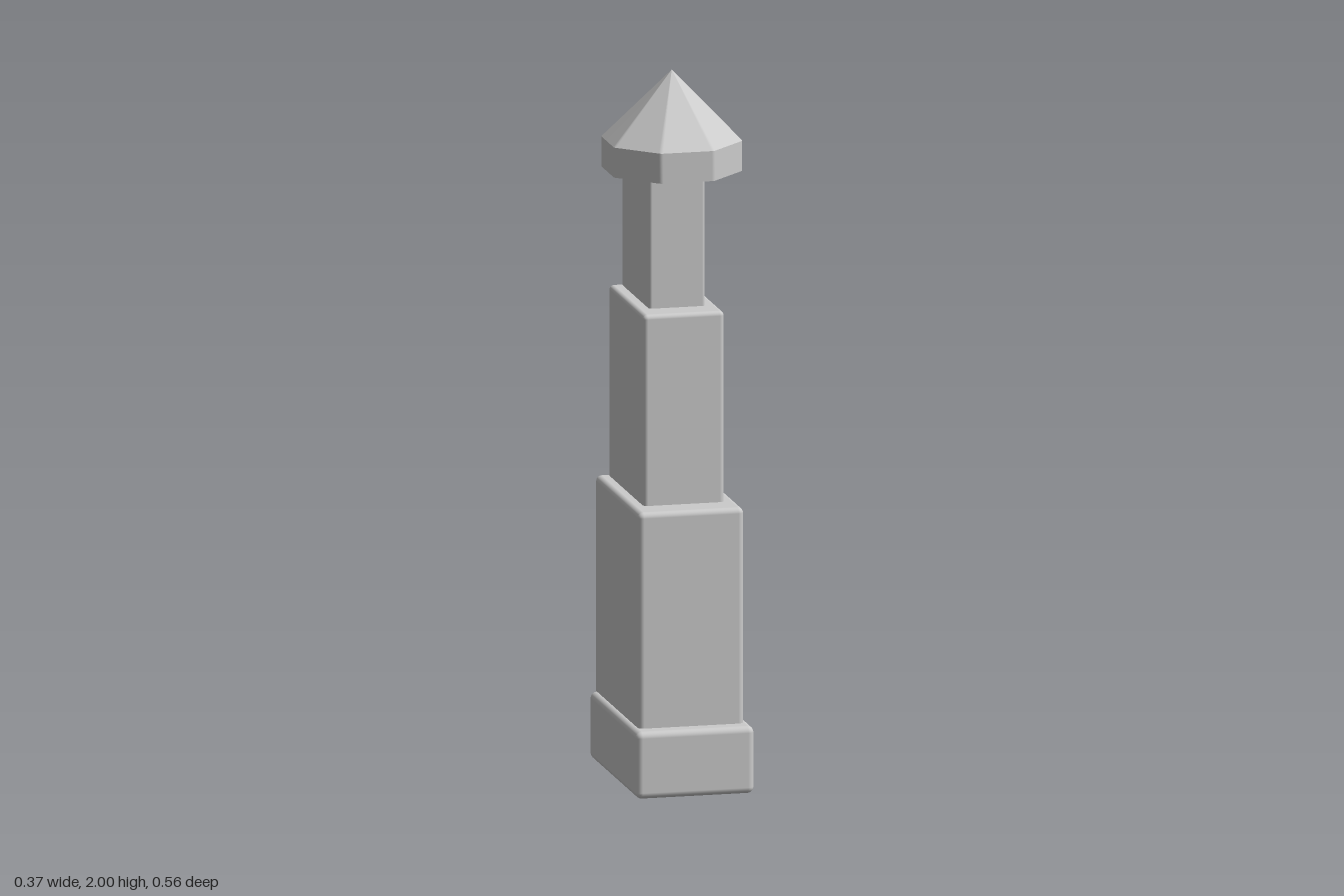
import * as THREE from 'three';
import { RoundedBoxGeometry } from 'three/addons/geometries/RoundedBoxGeometry.js';
import { mergeGeometries } from 'three/addons/utils/BufferGeometryUtils.js';

const grey = new THREE.MeshStandardMaterial({ color: 0xcccccc });

// Softly rounded block given by its half width and y / z ranges
function block(name, halfWidth, y0, y1, z0, z1, radius) {
  const geometry = new RoundedBoxGeometry(2 * halfWidth, y1 - y0, z1 - z0, 3, radius);
  const mesh = new THREE.Mesh(geometry, grey);
  mesh.position.set(0, (y0 + y1) / 2, (z0 + z1) / 2);
  mesh.name = name;
  return mesh;
}

// Octagon outline with flats facing front and sides, corners rounded
function octagon(apothem, radius) {
  const points = [];
  const centre = (apothem - radius) / Math.cos(Math.PI / 8);
  for (let k = 0; k < 8; k++) {
    const corner = (k + 0.5) * Math.PI / 4;
    for (let t = -1; t <= 1; t += 0.5) {
      const a = corner + t * Math.PI / 8;
      points.push([
        centre * Math.sin(corner) + radius * Math.sin(a),
        centre * Math.cos(corner) + radius * Math.cos(a),
      ]);
    }
  }
  return points;
}

// One band of surface between two scaled copies of an outline
function band(outline, y0, s0, y1, s1) {
  const n = outline.length, position = [], index = [];
  for (const [y, s] of [[y0, s0], [y1, s1]])
    for (const [x, z] of outline) position.push(x * s, y, z * s);
  for (let i = 0; i < n; i++) {
    const j = (i + 1) % n;
    if (s0 > 0) index.push(i, j, n + i);
    if (s1 > 0) index.push(j, n + j, n + i);
    if (s1 === 0) index.push(j, n + j, n + i);
    if (s0 === 0) index.push(i, j, n + i);
  }
  const geometry = new THREE.BufferGeometry();
  geometry.setAttribute('position', new THREE.Float32BufferAttribute(position, 3));
  geometry.setIndex(index);
  geometry.computeVertexNormals();
  return geometry;
}

export function createModel() {
  const tower = new THREE.Group();
  tower.name = 'steppedTower';

  // Plinth and three tiers, stepping back toward the rear
  tower.add(
    block('plinth', 0.168, 0, 0.19, -0.272, 0.277, 0.018),
    block('lowerTier', 0.15, 0.165, 0.8, -0.279, 0.228, 0.016),
    block('middleTier', 0.115, 0.76, 1.34, -0.264, 0.142, 0.013),
    block('upperTier', 0.08, 1.3, 1.75, -0.25, 0.063, 0.009),
  );

  // Octagonal cap: underside, upright rim and pointed roof
  const outline = octagon(0.183, 0.016);
  const cap = new THREE.Mesh(mergeGeometries([
    band(outline, 1.72, 0, 1.72, 1),
    band(outline, 1.72, 1, 1.805, 1),
    band(outline, 1.805, 1, 2, 0),
  ]), grey);
  cap.name = 'pointedCap';
  tower.add(cap);

  return tower;
}
